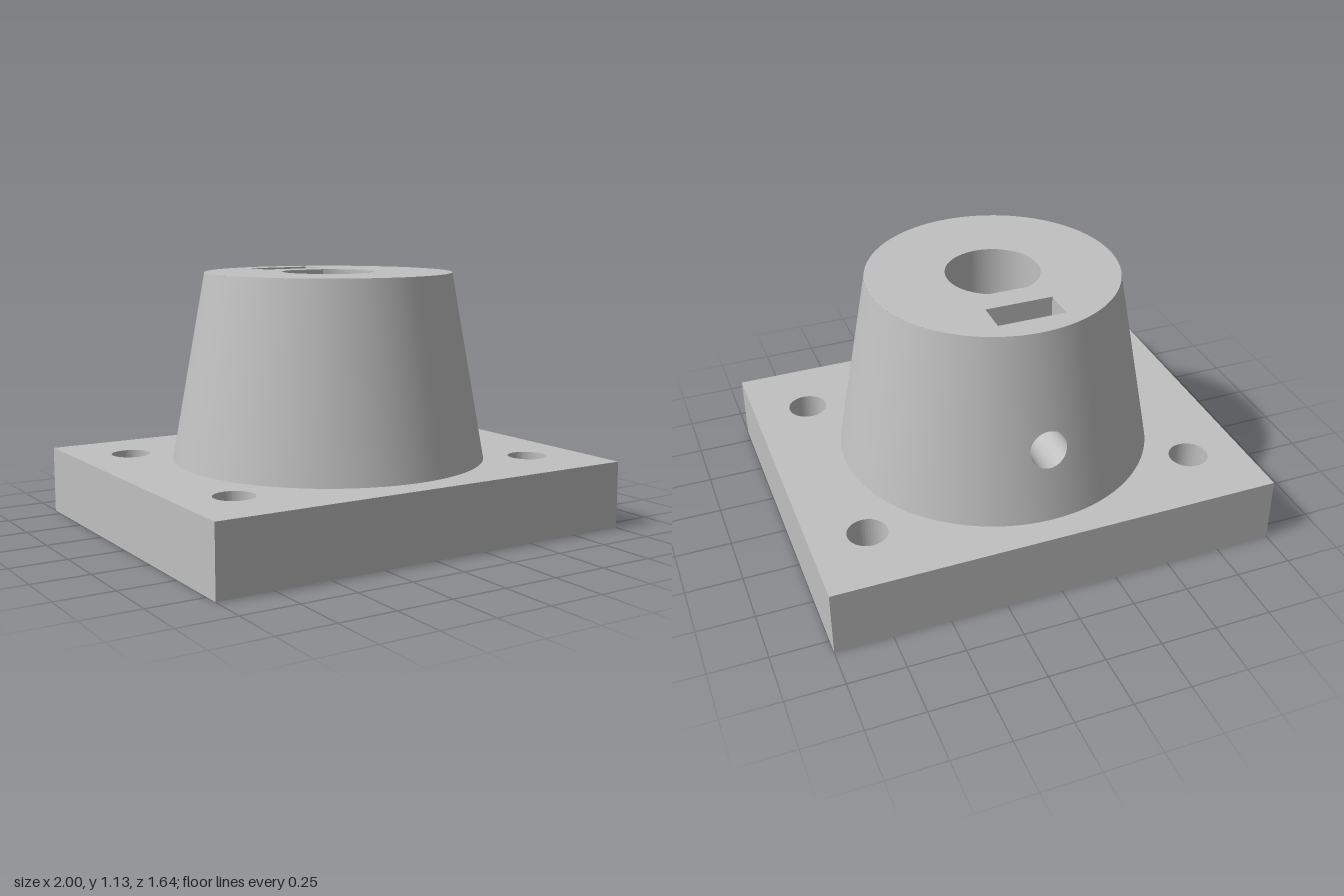
import * as THREE from 'three';

const BASE_TOP = 0.3, TOP = 1.13, R_BOTTOM = 0.7, R_TOP = 0.55;
const BORE_R = 0.205, FLAT_Z = -0.185;
const SLOT = { w: 0.148, near: -0.3, far: -0.44, floor: 0.46 };
const SCREW = { y: 0.62, r: 0.082 };
const PATCH = 0.3; // half angle of the hub panel that holds the screw hole

const radiusAt = (y) => THREE.MathUtils.lerp(R_BOTTOM, R_TOP, (y - BASE_TOP) / (TOP - BASE_TOP));
const backOfHub = (x, y) => -Math.sqrt(radiusAt(y) ** 2 - x * x);

function rect(Type, x0, y0, x1, y1) {
  return new Type([[x0, y0], [x1, y0], [x1, y1], [x0, y1]].map(([x, y]) => new THREE.Vector2(x, y)));
}

function circle(x, y, r) {
  return new THREE.Path().absarc(x, y, r, 0, Math.PI * 2, true);
}

// Upright rectangle facing z, pierced by the screw hole
function piercedWall(halfWidth, y0, z) {
  const shape = rect(THREE.Shape, -halfWidth, y0, halfWidth, TOP);
  shape.holes.push(circle(0, SCREW.y, SCREW.r));
  return new THREE.ShapeGeometry(shape, 24).translate(0, 0, z);
}

// Back panel of the cone: rings blended from the screw hole to the panel outline
function hubPanel() {
  const n = 16, rings = 8, outline = [];
  const corners = [[-1, BASE_TOP], [1, BASE_TOP], [1, TOP], [-1, TOP]];
  corners.forEach(([s0, y0], i) => {
    const [s1, y1] = corners[(i + 1) % 4];
    for (let k = 0; k < n; k++) {
      const t = k / n, y = y0 + (y1 - y0) * t;
      outline.push([radiusAt(y) * Math.sin(PATCH * (s0 + (s1 - s0) * t)), y]);
    }
  });
  const pos = [], normal = [], index = [], count = outline.length;
  const slope = (R_BOTTOM - R_TOP) / (TOP - BASE_TOP);
  for (let j = 0; j <= rings; j++) {
    for (const [ox, oy] of outline) {
      const a = Math.atan2(oy - SCREW.y, ox), t = j / rings;
      const x = THREE.MathUtils.lerp(SCREW.r * Math.cos(a), ox, t);
      const y = THREE.MathUtils.lerp(SCREW.y + SCREW.r * Math.sin(a), oy, t);
      const z = backOfHub(x, y), r = radiusAt(y);
      pos.push(x, y, z);
      normal.push(...new THREE.Vector3(x / r, slope, z / r).normalize().toArray());
    }
  }
  for (let j = 0; j < rings; j++) {
    for (let i = 0; i < count; i++) {
      const a = j * count + i, b = j * count + (i + 1) % count;
      index.push(a, b, a + count, b, b + count, a + count);
    }
  }
  const g = new THREE.BufferGeometry();
  g.setAttribute('position', new THREE.Float32BufferAttribute(pos, 3));
  g.setAttribute('normal', new THREE.Float32BufferAttribute(normal, 3));
  g.setIndex(index);
  return g;
}

// Screw tunnel between two depths; the outer end can follow the cone
function tunnel(zNear, zFar, followHub) {
  const g = new THREE.CylinderGeometry(SCREW.r, SCREW.r, zNear - zFar, 64, 1, true);
  g.rotateX(Math.PI / 2).translate(0, SCREW.y, (zNear + zFar) / 2);
  const p = g.attributes.position;
  for (let i = 0; followHub && i < p.count; i++) {
    if (p.getZ(i) < zFar + 0.001) p.setZ(i, backOfHub(p.getX(i), p.getY(i)));
  }
  return g;
}

export function createModel() {
  const model = new THREE.Group();
  model.name = 'flangeMount';
  const grey = new THREE.MeshStandardMaterial({ color: 0xc0c0c0 });
  grey.name = 'grey';
  const greyInside = grey; // cavity walls share the one colour
  grey.side = THREE.DoubleSide;
  const add = (name, geometry, parent = model, material = grey) => {
    const mesh = new THREE.Mesh(geometry, material);
    mesh.name = name;
    parent.add(mesh);
  };
  const group = (name) => {
    const g = new THREE.Group();
    g.name = name;
    model.add(g);
    return g;
  };

  // Base plate with four bolt holes
  const plate = rect(THREE.Shape, -1, -0.82, 1, 0.82);
  for (const x of [-0.75, 0.75]) {
    for (const y of [-0.5, 0.5]) plate.holes.push(circle(x, y, 0.087));
  }
  add('basePlate', new THREE.ExtrudeGeometry(plate, { depth: BASE_TOP, bevelEnabled: false, curveSegments: 24 })
    .rotateX(-Math.PI / 2));

  // Tapered hub
  const hub = group('hub');
  const height = TOP - BASE_TOP;
  add('hubWall', new THREE.CylinderGeometry(R_TOP, R_BOTTOM, height, 96, 1, true,
    -Math.PI + PATCH, 2 * (Math.PI - PATCH)).translate(0, BASE_TOP + height / 2, 0), hub);
  add('hubBackPanel', hubPanel(), hub);

  // Top face with D-shaped bore and nut slot openings
  const flatAngle = Math.asin(-FLAT_Z / BORE_R);
  const cap = new THREE.Shape().absarc(0, 0, R_TOP, 0, Math.PI * 2);
  cap.holes.push(
    new THREE.Path().absarc(0, 0, BORE_R, flatAngle, Math.PI - flatAngle, true).closePath(),
    rect(THREE.Path, -SLOT.w, -SLOT.near, SLOT.w, -SLOT.far));
  add('hubTop', new THREE.ShapeGeometry(cap, 48).rotateX(-Math.PI / 2).translate(0, TOP, 0), hub);

  // Shaft bore: round wall and flat; the base plate closes its bottom
  const bore = group('shaftBore');
  const gap = Math.PI / 2 - flatAngle;
  add('boreRoundWall', new THREE.CylinderGeometry(BORE_R, BORE_R, height, 48, 1, true,
    -Math.PI + gap, 2 * (Math.PI - gap)).translate(0, BASE_TOP + height / 2, 0), bore, greyInside);
  add('boreFlat', piercedWall(BORE_R * Math.cos(flatAngle), BASE_TOP, FLAT_Z), bore);

  // Nut slot
  const slot = group('nutSlot');
  const depth = SLOT.near - SLOT.far, midZ = (SLOT.near + SLOT.far) / 2;
  add('slotInnerWall', piercedWall(SLOT.w, SLOT.floor, SLOT.near), slot);
  add('slotOuterWall', piercedWall(SLOT.w, SLOT.floor, SLOT.far), slot);
  for (const s of [-1, 1]) {
    add('slotEnd', new THREE.PlaneGeometry(depth, TOP - SLOT.floor).rotateY(-s * Math.PI / 2)
      .translate(s * SLOT.w, (TOP + SLOT.floor) / 2, midZ), slot);
  }
  add('slotFloor', new THREE.PlaneGeometry(SLOT.w * 2, depth).rotateX(-Math.PI / 2)
    .translate(0, SLOT.floor, midZ), slot);

  // Set screw hole from the back, through the slot, into the bore
  const screw = group('setScrewHole');
  add('outerTunnel', tunnel(SLOT.far, -0.66, true), screw);
  add('innerTunnel', tunnel(FLAT_Z, SLOT.near, false), screw);

  return model;
}
